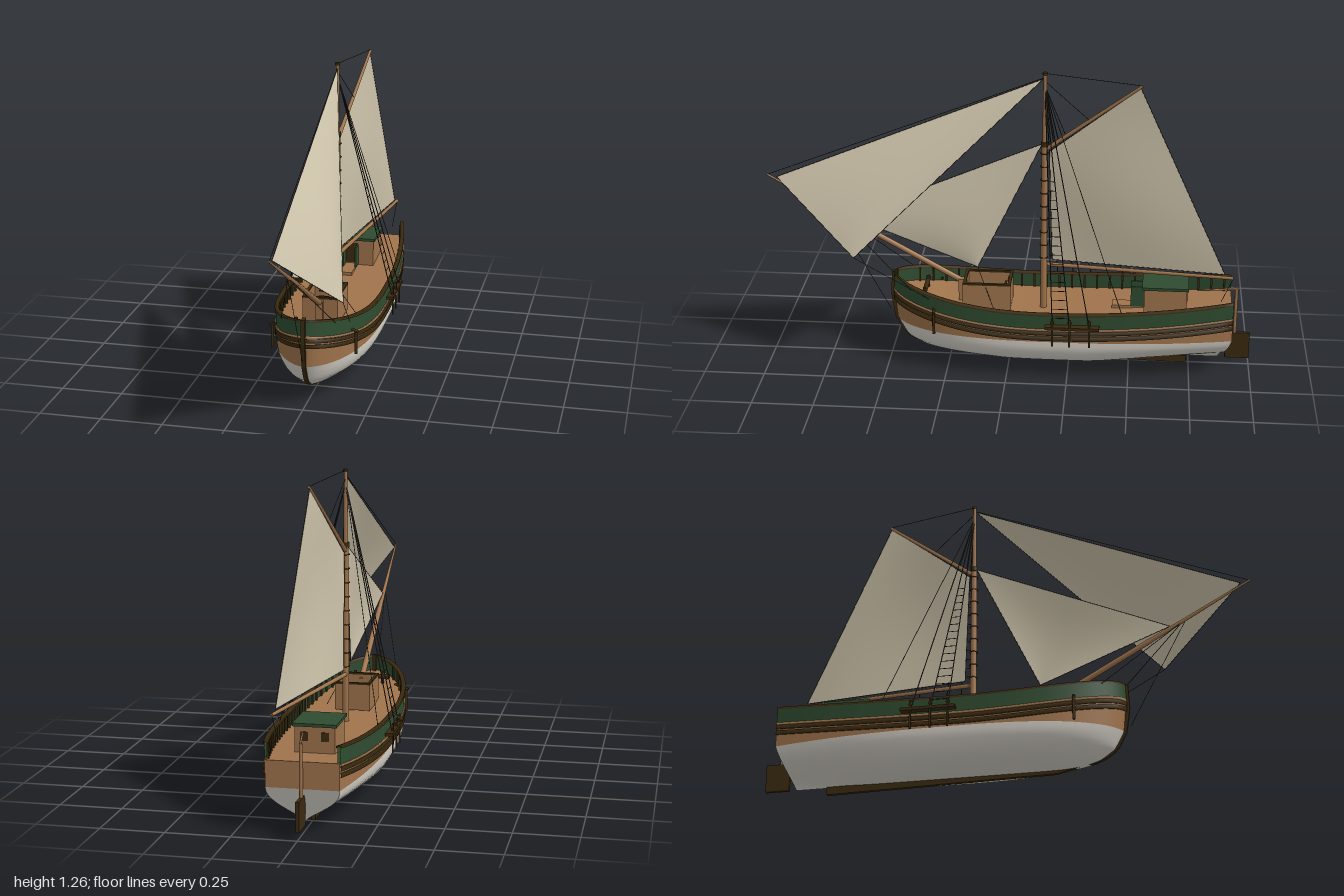
import * as THREE from 'three';

const mat = (name, color) => {
  const m = new THREE.MeshStandardMaterial({ color, side: THREE.DoubleSide });
  m.name = name;
  return m;
};
const M = {
  wood: mat('wood', 0xa0744c),
  dark: mat('darkWood', 0x3a2a10),
  green: mat('greenPaint', 0x2f4c30),
  white: mat('bottomPaint', 0xd9d5cb),
  sail: mat('sailcloth', 0xcdc3aa),
  rope: mat('rope', 0x2b2924),
};
const V = (x, y, z) => new THREE.Vector3(x, y, z);
const range = (n, f) => Array.from({ length: n }, (_, i) => f(i));

// Hull form: u runs from stern (0) to bow (1)
const WL = 0.172, DEPTH = 0.142;
const STEM = [[0.03, 0.24], [0.04, 0.32], [0.06, 0.38], [0.1, 0.435], [0.17, 0.472], [0.27, 0.487], [0.37, 0.482]];
function stemZ(y) {
  if (y <= STEM[0][0]) return STEM[0][1];
  for (let i = 1; i < STEM.length; i++) {
    const [y0, z0] = STEM[i - 1], [y1, z1] = STEM[i];
    if (y <= y1) return z0 + (z1 - z0) * (y - y0) / (y1 - y0);
  }
  return STEM[STEM.length - 1][1];
}
const sternZ = (y) => -0.92 + 0.05 * Math.max(0, WL - y) / DEPTH;
const halfWidth = (u) => u > 0.5
  ? 0.208 * Math.pow(Math.max(0, 1 - Math.pow((u - 0.5) / 0.5, 3)), 0.6)
  : 0.208 * (1 - 0.33 * Math.pow((0.5 - u) / 0.5, 2.2));
const sheer = (u) => u > 0.55
  ? 0.295 + 0.075 * ((u - 0.55) / 0.45) ** 2
  : 0.295 + 0.042 * ((0.55 - u) / 0.55) ** 2;
const hullPoint = (u, x, y) => V(x, y, sternZ(y) + (stemZ(y) - sternZ(y)) * u);
const deckAt = (z) => sheer((z + 0.92) / 1.402) - 0.062;
const STATIONS = range(57, (i) => 1 - Math.pow(1 - i / 56, 1.6));

// Half section below the waterline, hollow toward the stern
function bottomSection(u) {
  const a = 0.85 + 2.8 * Math.pow(Math.max(0, (0.45 - u) / 0.45), 1.5) + 0.5 * Math.max(0, (u - 0.7) / 0.3);
  return range(17, (i) => {
    const t = (i / 16) * Math.PI / 2;
    return [halfWidth(u) * Math.pow(Math.max(0, Math.cos(t)), a), WL - DEPTH * Math.pow(Math.sin(t), 0.85)];
  });
}

export function createModel() {
  const root = new THREE.Group();
  const add = (name, geo, m, parent = root) => {
    const mesh = new THREE.Mesh(geo, m);
    mesh.name = name;
    parent.add(mesh);
    return mesh;
  };
  const box = (name, m, w, h, d, x, y, z) =>
    add(name, new THREE.BoxGeometry(w, h, d).translate(x, y, z), m);
  // Surface through rows of points
  function loft(name, rows, m) {
    const n = rows[0].length, index = [];
    for (let i = 0; i < rows.length - 1; i++) for (let j = 0; j < n - 1; j++) {
      const a = i * n + j, b = a + n;
      index.push(a, b, a + 1, b, b + 1, a + 1);
    }
    const g = new THREE.BufferGeometry().setFromPoints(rows.flat());
    g.setIndex(index);
    g.computeVertexNormals();
    return add(name, g, m);
  }
  // Round spar or rope between two points
  function rod(name, m, a, b, r0 = 0.002, r1 = r0, sides = 5) {
    const d = b.clone().sub(a);
    const mesh = add(name, new THREE.CylinderGeometry(r1, r0, d.length(), sides), m);
    mesh.position.copy(a).addScaledVector(d, 0.5);
    mesh.quaternion.setFromUnitVectors(V(0, 1, 0), d.normalize());
    return mesh;
  }

  // Hull skins, wales, bulwarks and rails
  const side = (name, m, s, section) => {
    const rows = STATIONS.map((u) => section(u).map(([x, y]) => hullPoint(u, s * x, y)));
    if (s > 0) rows.reverse();
    return loft(name, rows, m);
  };
  const band = (top, bottom, out) => (u) => {
    const w = halfWidth(u), h = sheer(u);
    return [[Math.max(0, w - 0.006), h - top], [w + out, h - top], [w + out, h - bottom], [w, h - bottom]];
  };
  for (const s of [-1, 1]) {
    side('hullBottom', M.white, s, bottomSection);
    side('topsidePlanking', M.wood, s, (u) => [[halfWidth(u), sheer(u) - 0.062], [halfWidth(u), WL]]);
    side('bulwark', M.green, s, (u) => [[halfWidth(u) + 0.001, sheer(u)], [halfWidth(u) + 0.001, sheer(u) - 0.066]]);
    side('bulwarkLining', M.green, s, (u) => {
      const w = Math.max(0, halfWidth(u) - 0.008);
      return [[w, sheer(u) - 0.064], [w, sheer(u)]];
    });
    side('rubbingStrake', M.wood, s, band(0.064, 0.073, 0.005));
    side('upperWale', M.dark, s, band(0.075, 0.091, 0.006));
    side('lowerWale', M.dark, s, band(0.098, 0.115, 0.006));
    side('capRail', M.dark, s, (u) => {
      const w = halfWidth(u), h = sheer(u), i = Math.max(0, w - 0.013);
      return [[i, h - 0.005], [i, h + 0.004], [w + 0.005, h + 0.004], [w + 0.005, h - 0.005]];
    });
    for (let i = 0; i < 25; i++) {
      const u = 0.02 + i * 0.038, p = hullPoint(u, s * (halfWidth(u) - 0.012), sheer(u) - 0.032);
      box('bulwarkStanchion', M.dark, 0.008, 0.06, 0.008, p.x, p.y, p.z);
    }
  }
  loft('deck', STATIONS.map((u) => {
    const w = Math.max(0, halfWidth(u) - 0.002), y = sheer(u) - 0.062;
    return [hullPoint(u, -w, y), hullPoint(u, w, y)];
  }), M.wood);
  const w0 = halfWidth(0);
  loft('transom', [-1, 1].map((s) => [hullPoint(0, s * w0, sheer(0) - 0.062), hullPoint(0, s * w0, WL)]), M.wood);
  loft('lowerTransom', [-1, 1].map((s) => bottomSection(0).map(([x, y]) => hullPoint(0, s * x, y))), M.white);

  // Stem and keel in one curved plate
  const outer = range(18, (i) => 0.375 - i * 0.0203).map((y) => [stemZ(y) + 0.01, y]);
  const inner = range(18, (i) => 0.375 - i * 0.0195).map((y) => [stemZ(y) - 0.015, y + 0.003]).reverse();
  const keelShape = new THREE.Shape([...outer, [0.2, 0.018], [-0.74, 0], [-0.74, 0.032], [0.2, 0.04], ...inner]
    .map(([z, y]) => new THREE.Vector2(z, y)));
  add('stemAndKeel', new THREE.ExtrudeGeometry(keelShape, { depth: 0.016, bevelEnabled: false })
    .translate(0, 0, -0.008).rotateY(-Math.PI / 2), M.dark);

  // Rudder and tiller
  box('rudderBlade', M.dark, 0.014, 0.115, 0.1, 0, 0.088, -0.95);
  rod('rudderStock', M.wood, V(0, 0.13, -0.937), V(0, 0.347, -0.937), 0.007, 0.007, 8);
  rod('tiller', M.wood, V(0, 0.345, -0.945), V(0.03, 0.345, -0.78), 0.005, 0.004, 6);

  // Deckhouse with open doors
  box('deckhouse', M.wood, 0.155, 0.13, 0.175, -0.005, 0.295, -0.645);
  box('deckhouseRoof', M.green, 0.17, 0.012, 0.19, -0.005, 0.364, -0.645);
  box('doorway', M.dark, 0.05, 0.09, 0.004, -0.025, 0.3, -0.557);
  for (const x of [-0.053, 0.003]) box('door', M.green, 0.006, 0.09, 0.055, x, 0.295, -0.53);
  box('companionSlide', M.wood, 0.055, 0.02, 0.13, -0.025, 0.242, -0.49);
  for (const x of [-0.045, 0.035]) box('aftWindow', M.dark, 0.03, 0.035, 0.004, x, 0.32, -0.733);

  // Open hatch with coaming and ladder
  for (const s of [-1, 1]) {
    box('hatchCoaming', M.wood, 0.01, 0.11, 0.2, s * 0.068, 0.3, 0.09);
    box('hatchCoaming', M.wood, 0.136, 0.11, 0.01, 0, 0.3, 0.09 + s * 0.093);
    box('hatchRim', M.dark, 0.012, 0.008, 0.2, s * 0.068, 0.357, 0.09);
    box('hatchRim', M.dark, 0.14, 0.008, 0.012, 0, 0.357, 0.09 + s * 0.093);
  }
  for (let i = 0; i < 5; i++) box('ladderStep', M.dark, 0.045, 0.005, 0.009, -0.02, 0.345 - i * 0.02, 0.005 + i * 0.014);

  // Mast, hoops, bowsprit, boom and gaff
  const MZ = -0.14;
  rod('lowerMast', M.wood, V(0, 0.2, MZ), V(0, 0.96, MZ), 0.014, 0.012, 12);
  rod('topmast', M.wood, V(0, 0.94, MZ), V(0, 1.25, MZ), 0.01, 0.007, 10);
  rod('mastCap', M.dark, V(0, 0.945, MZ), V(0, 0.965, MZ), 0.015, 0.015, 12);
  rod('truck', M.dark, V(0, 1.245, MZ), V(0, 1.256, MZ), 0.01, 0.01, 10);
  for (let i = 0; i < 9; i++)
    add('mastHoop', new THREE.TorusGeometry(0.016, 0.002, 5, 16).rotateX(Math.PI / 2).translate(0, 0.46 + i * 0.057, MZ), M.dark);
  rod('bowsprit', M.wood, V(0, 0.33, 0.18), V(0, 0.56, 0.59), 0.012, 0.011, 10);
  rod('jibBoom', M.wood, V(0, 0.56, 0.59), V(0, 0.79, 1), 0.01, 0.004, 8);
  box('bowspritBitt', M.wood, 0.03, 0.12, 0.025, 0, 0.29, 0.2);
  rod('boom', M.wood, V(0, 0.428, -0.155), V(0.113, 0.442, -0.915), 0.009, 0.007, 8);
  rod('gaff', M.wood, V(0, 0.935, -0.15), V(0.06, 1.228, -0.525), 0.009, 0.006, 8);

  // Bellied sails: four corners, last two equal for a triangle
  function sail(name, a, b, c, d, belly) {
    const N = 14;
    loft(name, range(N + 1, (i) => range(N + 1, (j) => {
      const u = i / N, v = j / N;
      const p = a.clone().lerp(b, v).lerp(d.clone().lerp(c, v), u);
      p.x += belly * Math.sin(Math.PI * u) * Math.sin(Math.PI * v);
      return p;
    })), M.sail);
    [[a, b], [b, c], [c, d], [d, a]].forEach(([p, q]) => {
      if (p.distanceTo(q) > 0.01) rod('boltRope', M.rope, p, q, 0.0014);
    });
  }
  const jibClew = V(0.187, 0.51, 0.62), stayClew = V(0.035, 0.42, 0.13);
  sail('jib', V(0, 0.78, 0.96), V(0, 1.23, MZ + 0.005), jibClew, jibClew, 0.015);
  sail('staysail', V(0, 0.615, 0.67), V(0, 0.955, MZ + 0.01), stayClew, stayClew, 0.015);
  sail('mainsail', V(0.002, 0.45, -0.175), V(0.002, 0.925, -0.16), V(0.059, 1.22, -0.52), V(0.108, 0.455, -0.88), 0.02);

  // Shrouds, ratlines, channels and deadeyes on both sides
  const head = V(0, 1.2, MZ);
  for (const s of [-1, 1]) {
    const feet = [-0.19, -0.26, -0.34].map((z) => V(s * 0.226, 0.25, z));
    box('channel', M.dark, 0.036, 0.012, 0.22, s * 0.22, 0.247, -0.27);
    for (const f of feet) {
      rod('shroud', M.rope, f, head, 0.0022);
      box('chainPlate', M.dark, 0.006, 0.12, 0.008, s * 0.23, 0.225, f.z);
      add('deadeye', new THREE.SphereGeometry(0.008, 8, 6).translate(f.x, 0.27, f.z), M.dark);
    }
    for (let i = 1; i < 17; i++) {
      const t = i * 0.038;
      rod('ratline', M.rope, feet[0].clone().lerp(head, t), feet[1].clone().lerp(head, t), 0.0015);
    }
    rod('backstay', M.rope, V(s * 0.195, 0.3, -0.47), head, 0.0015);
    rod('bowspritGuy', M.rope, V(s * 0.11, 0.34, 0.4), V(0, 0.63, 0.72), 0.0015);
    // Cathead and hanging fender
    rod('cathead', M.dark, V(s * 0.12, 0.29, 0.3), V(s * 0.182, 0.27, 0.3), 0.005, 0.005, 6);
    rod('fender', M.dark, V(s * 0.172, 0.175, 0.3), V(s * 0.172, 0.27, 0.3), 0.006, 0.006, 8);
    rod('mooringPost', M.dark, V(s * 0.06, deckAt(0.35), 0.35), V(s * 0.06, deckAt(0.35) + 0.05, 0.35), 0.007, 0.007, 8);
  }
  rod('windlass', M.dark, V(-0.09, deckAt(0.35) + 0.03, 0.35), V(0.09, deckAt(0.35) + 0.03, 0.35), 0.01, 0.01, 10);

  // Running and standing lines
  [
    [V(0, 0.2, 0.5), V(0, 0.65, 0.74)],
    [V(0, 1.252, MZ), V(0.06, 1.23, -0.525)],
    [V(0, 1.22, MZ), V(0.03, 1.07, -0.32)],
    [V(0.113, 0.442, -0.915), V(0.1, 0.33, -0.87)],
    [jibClew, V(0.15, 0.32, 0.32)],
    [stayClew, V(0.12, 0.25, 0.05)],
    [V(0, 0.79, 0.995), V(0, 1.235, MZ)],
  ].forEach(([a, b]) => rod('line', M.rope, a, b, 0.0013));

  return root;
}
